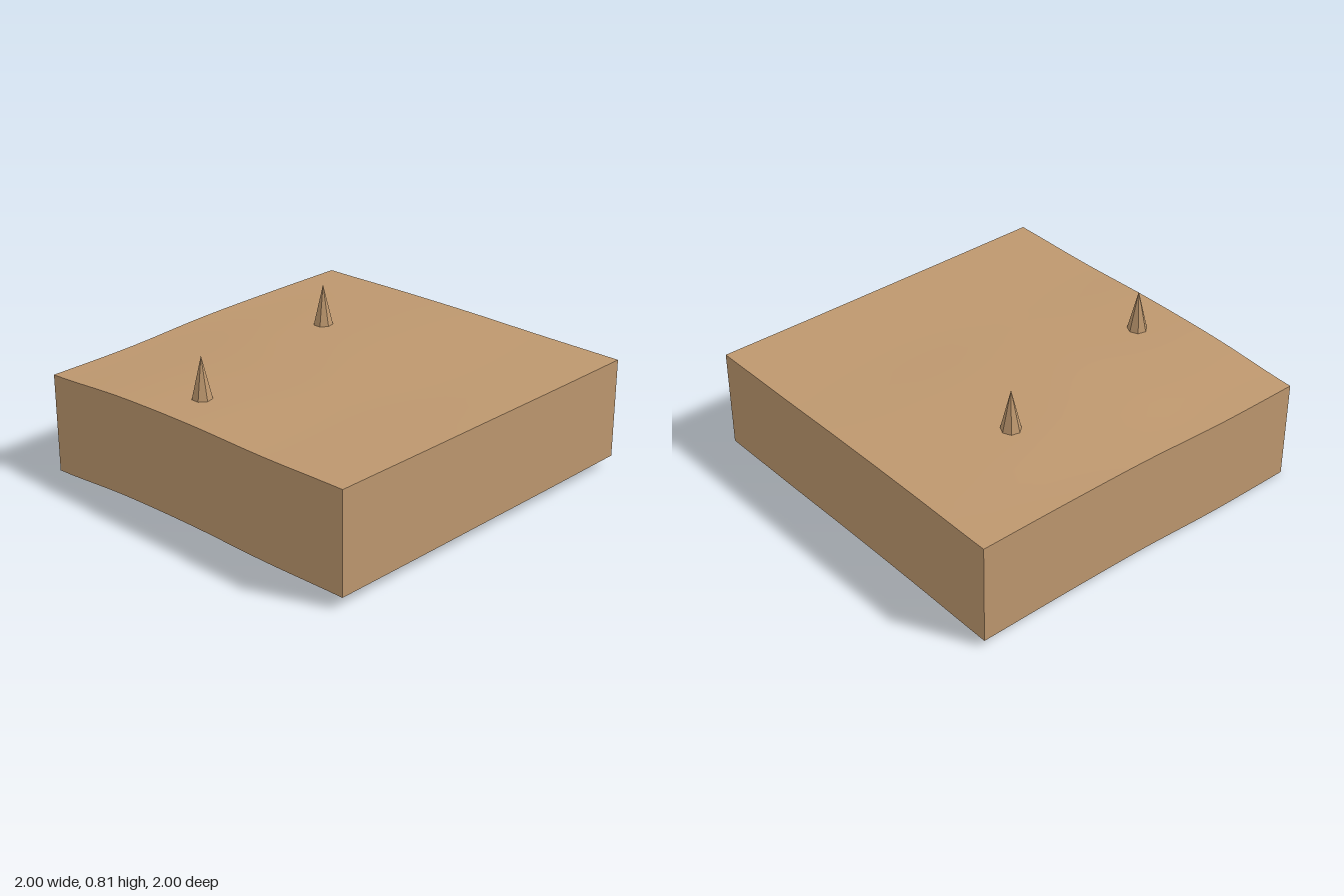
import * as THREE from 'three';

const SKIRT = 0.533; // depth of the walls below the ground edge

// Evenly spaced edge heights, smoothed into a function of t in 0..1
function profile(heights) {
  const curve = new THREE.SplineCurve(heights.map((h, i) => new THREE.Vector2(i, h)));
  return t => curve.getPoint(t).y;
}

// Ground heights along the four edges (x from -1 to 1, z from -1 to 1)
const front = profile([0.534, 0.571, 0.586, 0.584, 0.595]);
const back = profile([0.570, 0.582, 0.589, 0.589, 0.592]);
const right = profile([0.570, 0.570, 0.563, 0.539, 0.534]);
const left = profile([0.592, 0.591, 0.592, 0.593, 0.595]);

// Blend the edge heights across the tile
function groundHeight(x, z) {
  const u = (x + 1) / 2, v = (z + 1) / 2, mix = THREE.MathUtils.lerp;
  return mix(back(u), front(u), v) + mix(right(v), left(v), u)
    - mix(mix(back(0), back(1), u), mix(front(0), front(1), u), v);
}

export function createModel() {
  const model = new THREE.Group();
  const earth = new THREE.MeshStandardMaterial({ color: 0xbd976e });
  earth.side = THREE.DoubleSide;

  const add = (geometry, name) => {
    const mesh = new THREE.Mesh(geometry, earth);
    mesh.name = name;
    model.add(mesh);
    return mesh;
  };

  // Gently rolling ground
  const ground = new THREE.PlaneGeometry(2, 2, 24, 24).rotateX(-Math.PI / 2);
  const gp = ground.attributes.position;
  for (let i = 0; i < gp.count; i++) gp.setY(i, groundHeight(gp.getX(i), gp.getZ(i)));
  ground.computeVertexNormals();
  add(ground, 'ground');

  // Four walls hanging from the ground edges, open underneath
  ['frontWall', 'leftWall', 'backWall', 'rightWall'].forEach((name, k) => {
    const wall = new THREE.PlaneGeometry(2, 1, 24, 1).translate(0, 0, 1).rotateY(k * Math.PI / 2);
    const p = wall.attributes.position;
    for (let i = 0; i < p.count; i++) {
      const top = groundHeight(p.getX(i), p.getZ(i));
      p.setY(i, p.getY(i) > 0 ? top : Math.max(0, top - SKIRT));
    }
    wall.computeVertexNormals();
    add(wall, name);
  });

  // Seven-sided spikes standing on the ground
  [[-0.42, -0.335, 0.808], [-0.17, 0.75, 0.802]].forEach(([x, z, tip]) => {
    const base = groundHeight(x, z) - 0.002;
    const cone = new THREE.ConeGeometry(0.053, tip - base, 7, 1, false, Math.PI).toNonIndexed();
    cone.computeVertexNormals();
    add(cone, 'spike').position.set(x, (base + tip) / 2, z);
  });

  return model;
}
